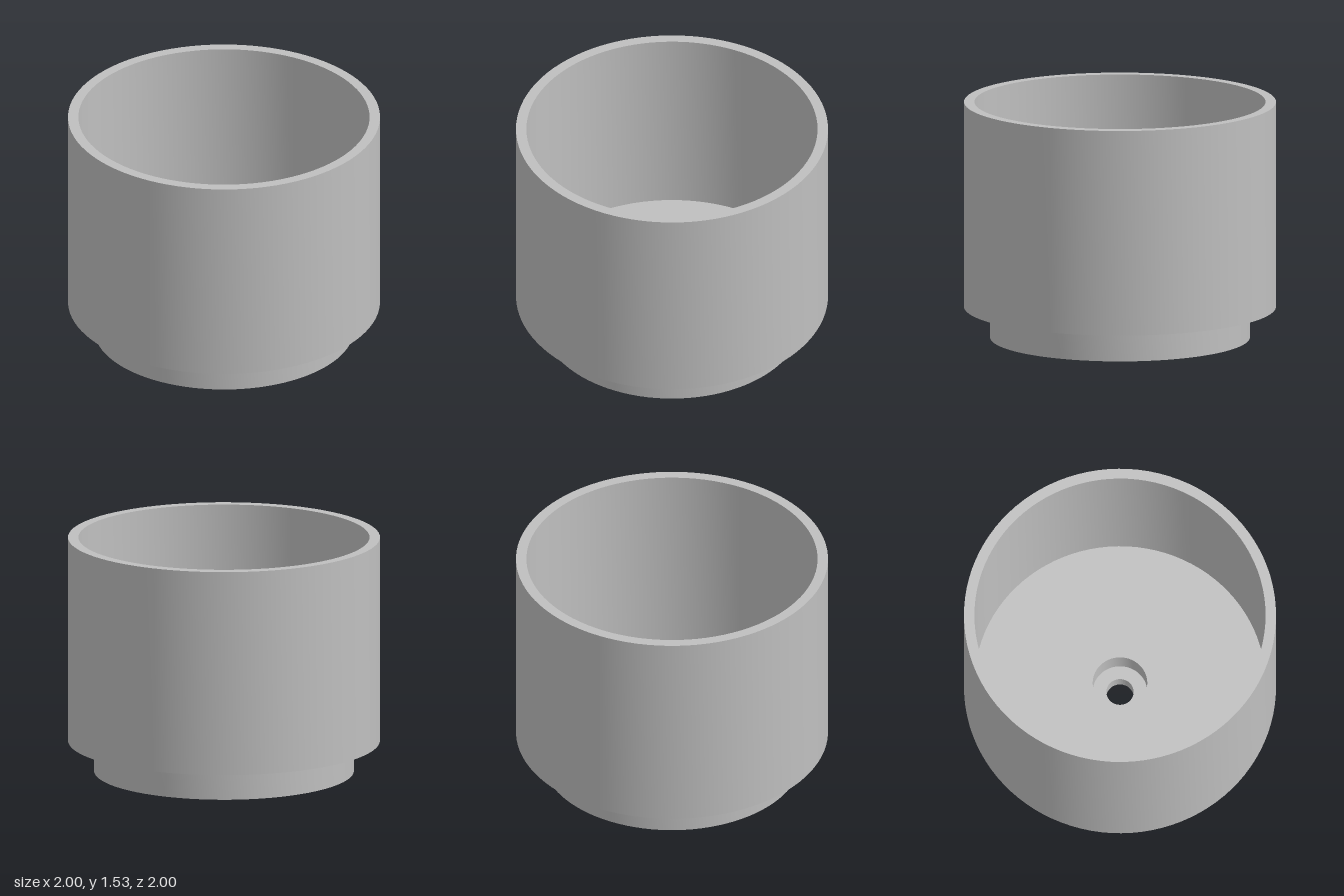
import * as THREE from 'three';
import { toCreasedNormals } from 'three/addons/utils/BufferGeometryUtils.js';

const SEGMENTS = 96;

// Turned part from a [radius, height] profile, with sharp corners
function turned(name, profile, material) {
  const points = profile.map(([r, y]) => new THREE.Vector2(r, y));
  const geometry = toCreasedNormals(new THREE.LatheGeometry(points, SEGMENTS), 0.5);
  const mesh = new THREE.Mesh(geometry, material);
  mesh.name = name;
  return mesh;
}

export function createModel() {
  const grey = new THREE.MeshStandardMaterial({ color: 0xbfbfbf });
  grey.name = 'plain grey';

  const outer = 1, inner = 0.933, spigot = 0.833, recess = 0.175, hole = 0.0875;
  const height = 1.535, shoulder = 0.2, floor = 0.267, seat = 0.1;

  const model = new THREE.Group();
  model.name = 'cup';
  model.add(
    // Shoulder, outer wall, rim, inner wall and floor
    turned('cupWall', [
      [spigot, shoulder], [outer, shoulder], [outer, height],
      [inner, height], [inner, floor], [recess, floor],
    ], grey),
    // Recess for the bolt head in the floor
    turned('boltRecess', [[recess, floor], [recess, seat], [hole, seat]], grey),
    // Bolt hole, underside and narrow base
    turned('baseSpigot', [[hole, seat], [hole, 0], [spigot, 0], [spigot, shoulder]], grey),
  );
  return model;
}
